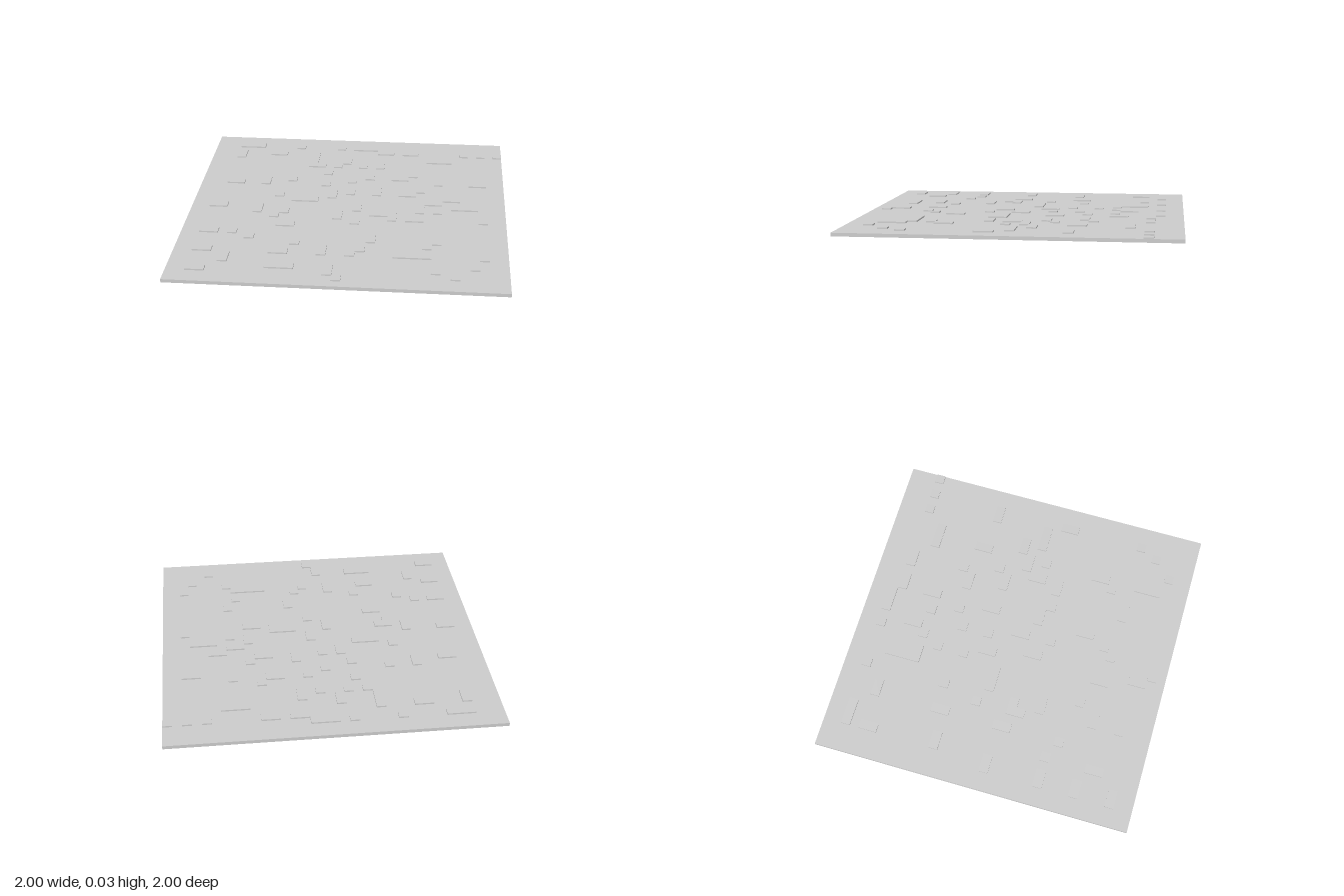
import * as THREE from 'three';

const CELL = 2 / 35;     // the plate is a 35 x 35 grid of cells
const BASE = 0.021;      // plate thickness
const TOP = 0.03;        // top of the raised tiles

// Tile positions as [column, row] of their lowest cell, counted from the centre
const singles = [
  [-7, -15], [-2, -15], [13, -14], [15, -14], [17, -14], [-4, -10], [-2, -10], [1, -10],
  [-3, -8], [7, -8], [2, -7], [-7, -6], [0, -6], [-3, -5], [8, -4], [0, -3], [-8, -2],
  [10, 1], [-8, 3], [5, 3], [1, 4], [-12, 7], [-10, 8], [-5, 9], [9, 9], [2, 10],
  [1, 11], [15, 11], [14, 13], [12, 15], [0, 16],
];
const acrossTwo = [
  [3, -14], [6, -14], [-10, -13], [5, -7], [14, -6], [-14, -5], [6, -3], [11, -2],
  [9, -1], [-15, 1], [-8, 2], [7, 3], [-7, 5], [-15, 7], [-15, 11], [-7, 11], [-15, 15],
];
const acrossThree = [[-14, -15], [0, -15], [9, -12], [-6, -1], [12, 0], [3, 2], [-7, 14]];
const acrossFour = [[6, 11]];
const deepTwo = [
  [-14, -13], [-1, -12], [3, -11], [10, -7], [-10, -6], [3, -4], [-2, -3], [1, 0],
  [8, 0], [-10, 1], [-1, 2], [15, 2], [3, 7], [10, 7], [-2, 10], [-12, 12], [-1, 14],
];
const deepThree = [[10, 12]];
const deepFour = [[-5, -13]];

export function createModel() {
  const model = new THREE.Group();
  const material = new THREE.MeshStandardMaterial({ color: 0xcccccc });

  // Flat square plate
  const plate = new THREE.Mesh(new THREE.BoxGeometry(2, BASE, 2), material);
  plate.name = 'basePlate';
  plate.position.y = BASE / 2;
  model.add(plate);

  // Raised tiles, one group per footprint
  const addTiles = (name, list, cols, rows) => {
    const group = new THREE.Group();
    group.name = name;
    const geometry = new THREE.BoxGeometry(cols * CELL, TOP - BASE, rows * CELL);
    for (const [col, row] of list) {
      const tile = new THREE.Mesh(geometry, material);
      tile.name = 'raisedTile';
      tile.position.set(
        (col + (cols - 1) / 2) * CELL,
        (TOP + BASE) / 2,
        (row + (rows - 1) / 2) * CELL,
      );
      group.add(tile);
    }
    model.add(group);
  };
  addTiles('squareTiles', singles, 1, 1);
  addTiles('doubleTilesAcross', acrossTwo, 2, 1);
  addTiles('tripleTilesAcross', acrossThree, 3, 1);
  addTiles('longTileAcross', acrossFour, 4, 1);
  addTiles('doubleTilesDeep', deepTwo, 1, 2);
  addTiles('tripleTileDeep', deepThree, 1, 3);
  addTiles('longTileDeep', deepFour, 1, 4);
  return model;
}
